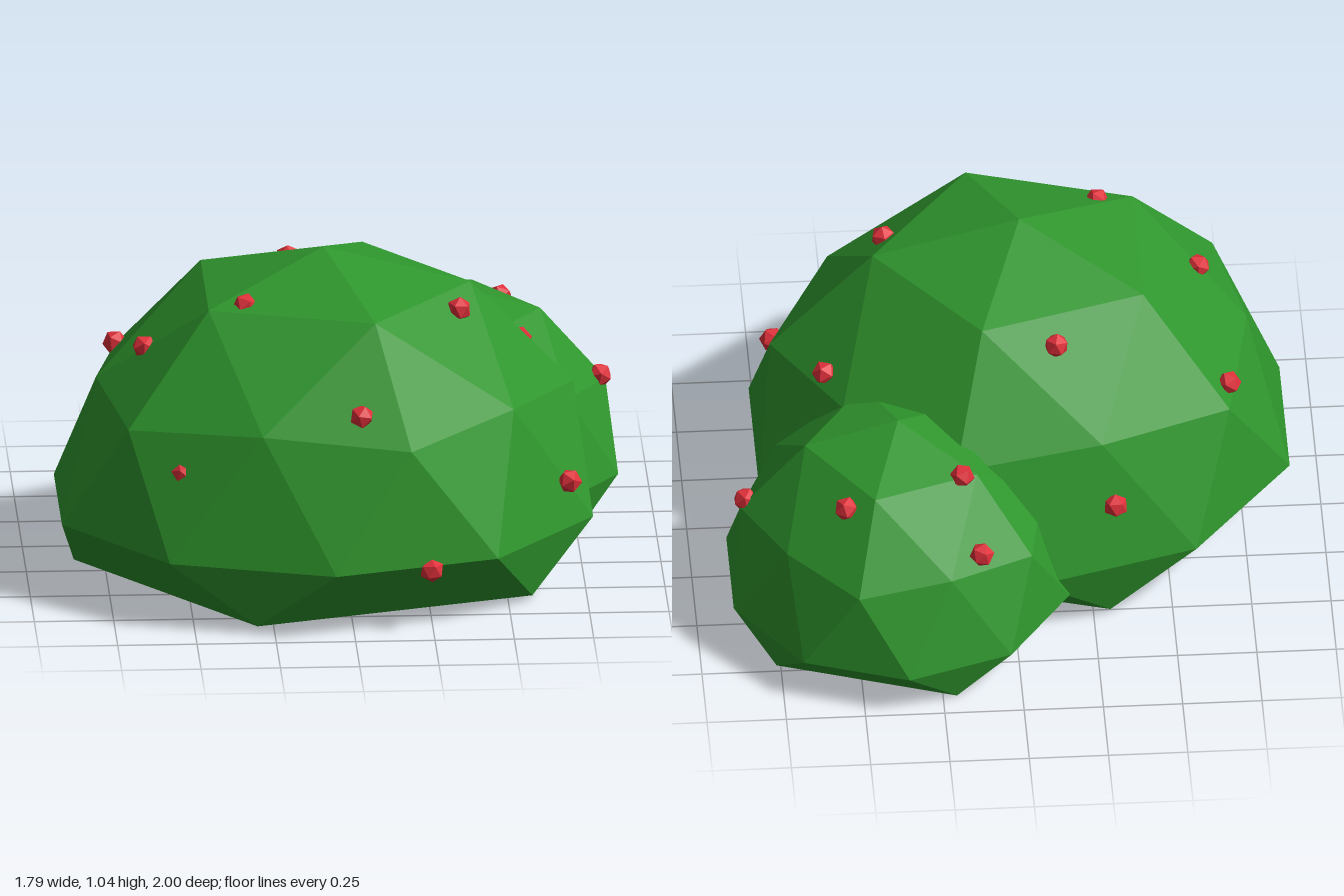
import * as THREE from 'three';
import { ConvexGeometry } from 'three/addons/geometries/ConvexGeometry.js';

const leafMat = new THREE.MeshStandardMaterial({ color: 0x2f962d, flatShading: true });
const berryMat = new THREE.MeshStandardMaterial({ color: 0xe0303a, flatShading: true });

// Faceted dome with a ten-sided waist and a flat five-sided base
function dome(name, [cx, cy, cz], [rx, ry, rz], baseY) {
  const points = [];
  const ring = (count, startDeg, r, level) => {
    for (let i = 0; i < count; i++) {
      const a = THREE.MathUtils.degToRad(startDeg + (i * 360) / count);
      points.push(new THREE.Vector3(cx + rx * r * Math.sin(a), cy + ry * level, cz + rz * r * Math.cos(a)));
    }
  };
  ring(1, 0, 0, 1); // tip
  ring(5, 18, 0.526, 0.851);
  ring(5, -18, 0.815, 0.49);
  ring(5, 18, 0.894, 0.447);
  ring(10, 0, 1, 0); // waist
  ring(5, -18, 0.894, (baseY - cy) / ry); // base
  const mesh = new THREE.Mesh(new ConvexGeometry(points), leafMat);
  mesh.name = name;
  return mesh;
}

export function createModel() {
  const bush = new THREE.Group();
  bush.name = 'bush';

  // Foliage
  bush.add(dome('largeFoliage', [-0.06, 0.215, 0.18], [0.88, 0.825, 0.82], 0.015));
  bush.add(dome('smallFoliage', [0.36, 0.135, -0.41], [0.557, 0.58, 0.59], 0));

  // Berries half sunk into the leaves
  const berries = new THREE.Group();
  berries.name = 'berries';
  const berryGeo = new THREE.IcosahedronGeometry(0.04, 0);
  const spots = [
    [-0.63, 0.75, 0.28], [-0.32, 0.925, 0.41], [0.36, 0.875, 0.33], [0.03, 0.675, 0.79],
    [-0.53, 0.475, 0.72], [0.7, 0.355, 0.5], [0.245, 0.2, 0.9], [-0.15, 0.865, -0.25],
    [0.57, 0.645, -0.06], [-0.32, 0.42, -0.51], [-0.7, 0.62, -0.16],
    [0.84, 0.41, -0.39], [0.54, 0.58, -0.68], [0.12, 0.47, -0.8], [0.17, 0.63, -0.6],
  ];
  spots.forEach(([x, y, z], i) => {
    const berry = new THREE.Mesh(berryGeo, berryMat);
    berry.name = 'berry' + (i + 1);
    berry.position.set(x, y, z);
    berry.rotation.set(i * 1.3, i * 0.7, 0);
    berries.add(berry);
  });
  bush.add(berries);
  return bush;
}
